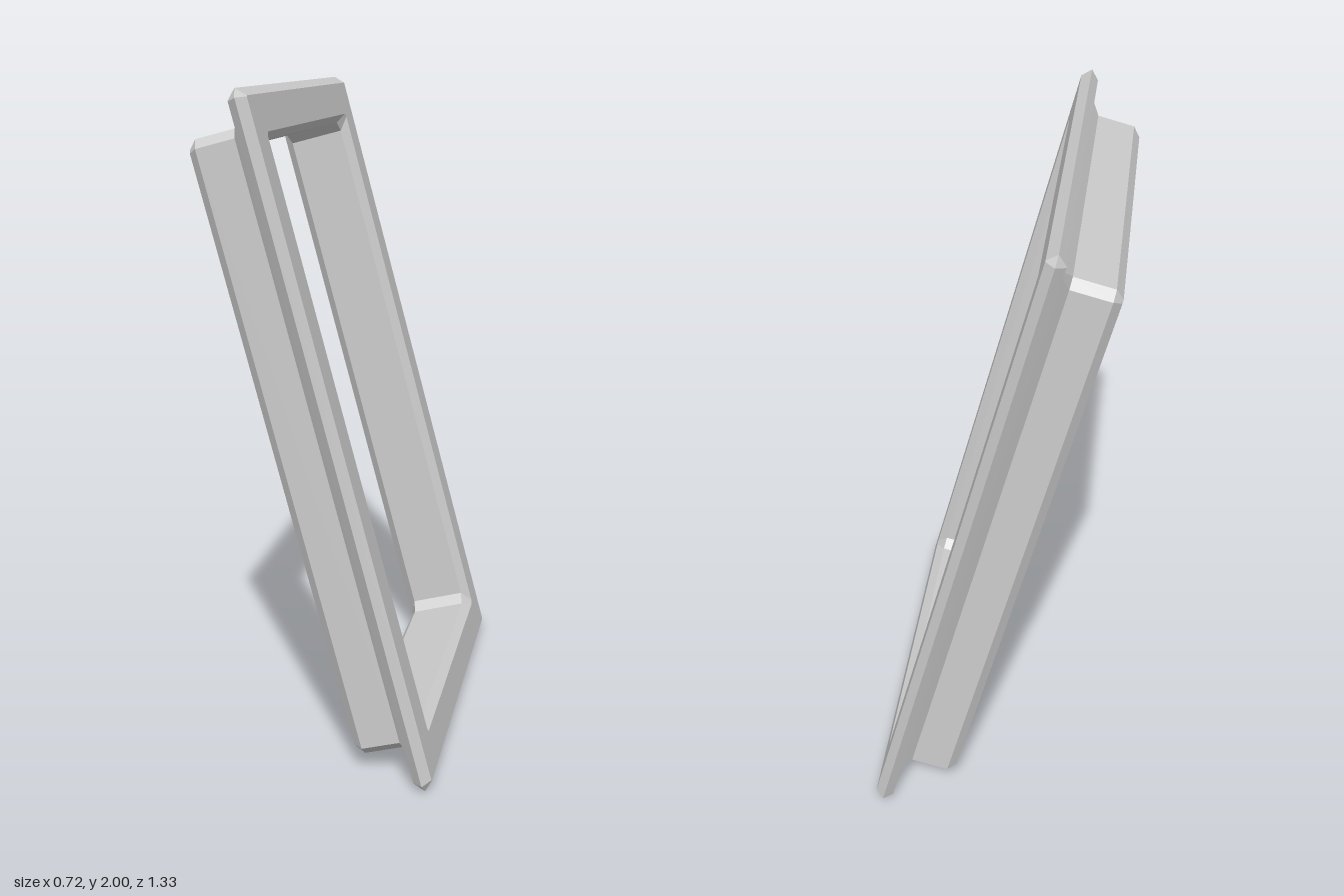
import * as THREE from 'three';

const EXTRA = 0.369; // the frame is this much longer than wide, per half

// Rectangular ring with cut corners, at depth x and half width w
function ring([x, w, cut]) {
  const h = w + EXTRA;
  return [
    [h, -w + cut], [h, w - cut], [h - cut, w], [-h + cut, w],
    [-h, w - cut], [-h, -w + cut], [-h + cut, -w], [h - cut, -w],
  ].map(([y, z]) => [x, y, z]);
}

// Flat-shaded skin joining successive rings
function skin(name, profile, material) {
  const rings = profile.map(ring);
  const pos = [];
  for (let i = 0; i < rings.length - 1; i++) {
    for (let j = 0; j < 8; j++) {
      const k = (j + 1) % 8;
      const a = rings[i][j], b = rings[i][k], c = rings[i + 1][k], d = rings[i + 1][j];
      pos.push(...a, ...b, ...c, ...a, ...c, ...d);
    }
  }
  const geometry = new THREE.BufferGeometry();
  geometry.setAttribute('position', new THREE.Float32BufferAttribute(pos, 3));
  geometry.computeVertexNormals();
  const mesh = new THREE.Mesh(geometry, material);
  mesh.name = name;
  return mesh;
}

export function createModel() {
  const model = new THREE.Group();
  model.name = 'windowFrame';
  const grey = new THREE.MeshStandardMaterial({ color: 0xcccccc, flatShading: true });

  const frame = new THREE.Group();
  frame.name = 'tiltedFrame';
  // Each profile entry: depth, half width, corner cut
  frame.add(
    // Collar outside, from its bevelled back rim to the flare under the flange
    skin('collar', [
      [0.128, 0.54, 0.008], [0.154, 0.566, 0.026], [0.272, 0.566, 0.026], [0.302, 0.596, 0.01],
    ], grey),
    // Flange back, bevelled edge and front face
    skin('flange', [
      [0.302, 0.596, 0.01], [0.302, 0.64, 0.003], [0.33, 0.667, 0.026],
      [0.357, 0.64, 0.003], [0.357, 0.535, 0.01],
    ], grey),
    // Opening, bevelled at both ends
    skin('innerLining', [
      [0.357, 0.535, 0.01], [0.33, 0.514, 0.03], [0.154, 0.514, 0.03], [0.128, 0.54, 0.008],
    ], grey),
  );
  frame.rotation.z = THREE.MathUtils.degToRad(15);
  model.add(frame);

  // Stand on the ground, centred
  const box = new THREE.Box3().setFromObject(model, true);
  const centre = box.getCenter(new THREE.Vector3());
  frame.position.set(-centre.x, -box.min.y, -centre.z);
  return model;
}
